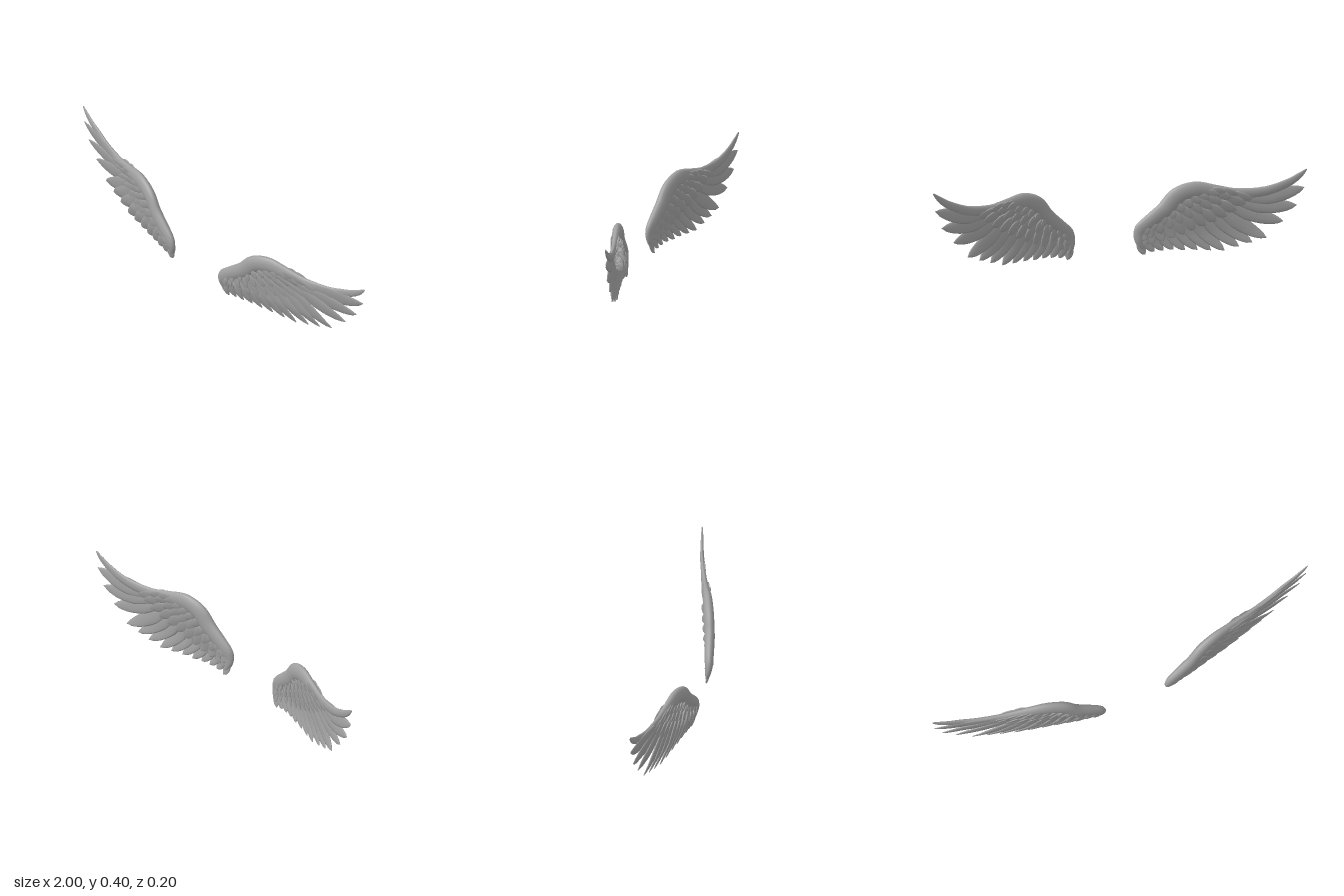
import * as THREE from 'three';

const V = (x, y) => new THREE.Vector2(x, y);
const spline = (pts) => new THREE.SplineCurve(pts.map(([x, y]) => V(x, y)));
const lerp = THREE.MathUtils.lerp;

// Depth of the wing's middle surface: it sweeps back outwards and slightly under
const SWEEP = [[0.15, 0.086], [0.3, 0.064], [0.5, 0.017], [0.7, -0.035], [0.85, -0.073], [1.01, -0.1]];
function depth(x, y) {
  let i = 0;
  while (i < SWEEP.length - 2 && x > SWEEP[i + 1][0]) i++;
  const [a, b] = [SWEEP[i], SWEEP[i + 1]];
  const t = (x - a[0]) / (b[0] - a[0]);
  return lerp(a[1], b[1], t) - 0.15 * Math.max(0, 0.1 - y);
}

// Lens-shaped loft along a flat curve; size(t) gives [half width, half thickness]
function loft(side, curve, size, { steps = 14, sides = 10, offset = () => 0, tilt = 0 } = {}) {
  const pos = [], idx = [];
  for (let i = 0; i <= steps; i++) {
    const t = i / steps;
    const p = curve.getPoint(t), d = curve.getTangent(t);
    const [w, h] = size(t);
    for (let j = 0; j < sides; j++) {
      const a = (j / sides) * Math.PI * 2;
      const c = Math.cos(a) * w;
      const x = p.x - d.y * c, y = p.y + d.x * c;
      pos.push(side * x, y, depth(x, y) + offset(t) + Math.sin(a) * h + tilt * c);
    }
  }
  for (let i = 0; i < steps; i++) {
    for (let j = 0; j < sides; j++) {
      const a = i * sides + j, b = i * sides + (j + 1) % sides;
      const c = a + sides, d = b + sides;
      if (side > 0) idx.push(a, b, c, b, d, c);
      else idx.push(a, c, b, b, c, d);
    }
  }
  const g = new THREE.BufferGeometry();
  g.setAttribute('position', new THREE.Float32BufferAttribute(pos, 3));
  g.setIndex(idx);
  g.computeVertexNormals();
  return g;
}

// Feather outline: narrow quill, broad vane, bluntly pointed tip
const vane = (w, h) => (t) => {
  const k = Math.min(1, 0.35 + 1.3 * t) * Math.pow(Math.max(0, 1 - t ** 4), 0.75);
  return [w * k + 0.0008, h * Math.sqrt(Math.max(0, 1 - t * t * 0.95)) * Math.min(1, 0.1 + t * 4)];
};

// Leading edge: x, y, half width, half thickness
const ARM = [
  [0.2, 0.03, 0.008, 0.006], [0.183, 0.07, 0.022, 0.014], [0.196, 0.122, 0.036, 0.02],
  [0.25, 0.168, 0.038, 0.024], [0.315, 0.218, 0.042, 0.026], [0.375, 0.282, 0.044, 0.026],
  [0.46, 0.308, 0.044, 0.024], [0.56, 0.296, 0.036, 0.019], [0.66, 0.285, 0.028, 0.014],
  [0.79, 0.294, 0.024, 0.011], [0.9, 0.33, 0.02, 0.008], [0.96, 0.364, 0.015, 0.006], [0.998, 0.396, 0.003, 0.002],
];
function armSize(t) {
  const f = t * (ARM.length - 1), i = Math.min(Math.floor(f), ARM.length - 2);
  const k = f - i;
  return [2, 3].map((n) => lerp(ARM[i][n], ARM[i + 1][n], k));
}

// Tips of the long flight feathers, from the outermost to the root
const TIPS = [
  [0.988, 0.308], [0.95, 0.222], [0.882, 0.146], [0.8, 0.068], [0.73, 0.046], [0.665, 0.028], [0.595, 0.011],
  [0.53, 0.014], [0.465, 0.018], [0.405, 0.018], [0.35, 0.022], [0.3, 0.02], [0.255, 0.016], [0.208, 0.003],
];
const ROOTS = spline([[0.6, 0.29], [0.5, 0.28], [0.38, 0.23], [0.28, 0.16], [0.2, 0.09]]);

// Covert rows on each face: tip line, count, length, half width, distance from the middle
const ROWS = [
  { name: 'greaterCoverts', line: [[0.73, 0.262], [0.62, 0.185], [0.48, 0.125], [0.34, 0.075], [0.21, 0.045]], n: 12, len: 0.17, w: 0.03, out: 0.009 },
  { name: 'medianCoverts', line: [[0.66, 0.288], [0.56, 0.232], [0.44, 0.175], [0.32, 0.115], [0.205, 0.07]], n: 11, len: 0.13, w: 0.026, out: 0.015 },
  { name: 'lesserCoverts', line: [[0.6, 0.3], [0.51, 0.26], [0.42, 0.22], [0.32, 0.155], [0.215, 0.1]], n: 10, len: 0.09, w: 0.023, out: 0.019 },
];

function createWing(side, mat) {
  const wing = new THREE.Group();
  wing.name = side > 0 ? 'leftWing' : 'rightWing';
  const add = (parent, name, geo) => {
    const m = new THREE.Mesh(geo, mat);
    m.name = name;
    parent.add(m);
  };

  // Smooth arm running out into the longest feather
  add(wing, 'leadingEdge', loft(side, spline(ARM), armSize, { steps: 60, sides: 16 }));

  // Fan of flight feathers
  const flight = new THREE.Group();
  flight.name = 'flightFeathers';
  wing.add(flight);
  TIPS.forEach(([x, y], i) => {
    const k = i / (TIPS.length - 1);
    const root = ROOTS.getPoint(k);
    const sag = 0.05 * (1 - k) ** 1.3;
    const bend = V((root.x + x) / 2 - 0.02 * k, (root.y + y) / 2 - sag);
    const geo = loft(side, new THREE.QuadraticBezierCurve(root, bend, V(x, y)),
      vane(lerp(0.045, 0.027, k), 0.009), { tilt: 0.14, offset: (t) => 0.003 * Math.sin(t * 3) });
    add(flight, 'flightFeather', geo);
  });

  // Overlapping short feathers on the front and back faces
  for (const face of [1, -1]) {
    for (const row of ROWS) {
      const group = new THREE.Group();
      group.name = (face > 0 ? 'front_' : 'back_') + row.name;
      wing.add(group);
      const line = spline(row.line);
      for (let i = 0; i < row.n; i++) {
        const k = i / (row.n - 1);
        const tip = line.getPoint(k);
        const angle = lerp(-0.2, -1.35, k);
        const len = row.len * lerp(1, 0.55, k) * (i % 2 ? 1 : 0.92);
        const root = V(tip.x - Math.cos(angle) * len, tip.y - Math.sin(angle) * len);
        const bend = V((root.x + tip.x) / 2, (root.y + tip.y) / 2 - 0.012 * (1 - k));
        const geo = loft(side, new THREE.QuadraticBezierCurve(root, bend, tip), vane(row.w, 0.006),
          { steps: 10, sides: 8, tilt: face * 0.2, offset: (t) => face * row.out * lerp(0.6, 1, t) });
        add(group, 'covert', geo);
      }
    }
  }
  return wing;
}

export function createModel() {
  const mat = new THREE.MeshStandardMaterial({ color: 0xa0a0a0 });
  mat.name = 'featherGrey';
  const model = new THREE.Group();
  model.name = 'wingPair';
  model.add(createWing(1, mat), createWing(-1, mat));
  return model;
}
